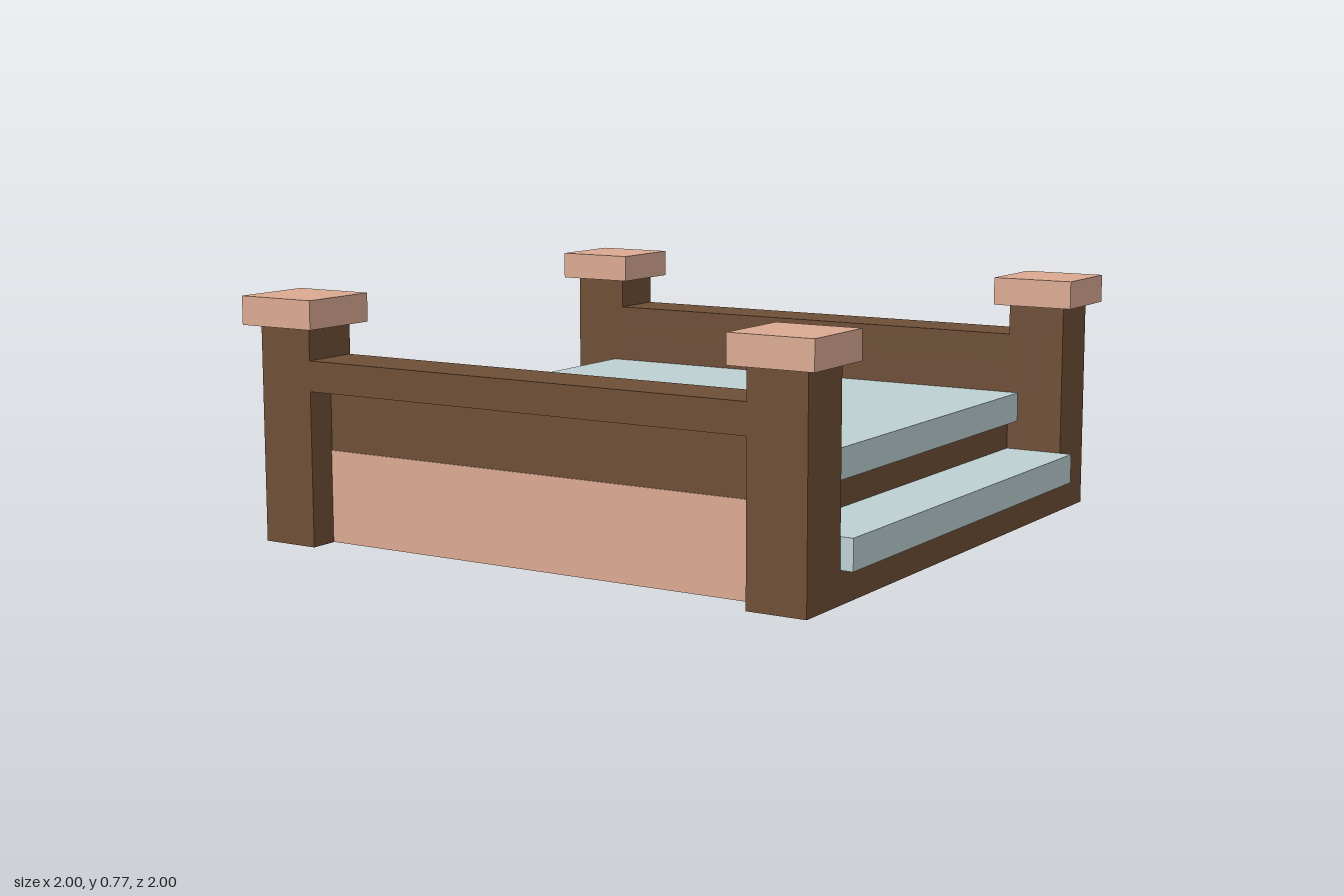
import * as THREE from 'three';

const wood = new THREE.MeshStandardMaterial({ color: 0x6f5037, flatShading: true });
const trim = new THREE.MeshStandardMaterial({ color: 0xddac94, flatShading: true });
const cloth = new THREE.MeshStandardMaterial({ color: 0xc0d2d5, flatShading: true });

// Box given by its [min, max] range on each axis
function block(name, material, [x0, x1], [y0, y1], [z0, z1]) {
  const mesh = new THREE.Mesh(new THREE.BoxGeometry(x1 - x0, y1 - y0, z1 - z0), material);
  mesh.position.set((x0 + x1) / 2, (y0 + y1) / 2, (z0 + z1) / 2);
  mesh.name = name;
  return mesh;
}

// Range on the positive side, mirrored when s is -1
const side = (s, a, b) => (s > 0 ? [a, b] : [-b, -a]);

export function createModel() {
  const model = new THREE.Group();
  model.name = 'bed';
  const IN = 0.77, OUT = 0.96;

  // Low base, raised core and mattress
  model.add(
    block('base', wood, [-OUT, OUT], [0, 0.1], [-IN, IN]),
    block('core', wood, [-IN, IN], [0.1, 0.29], [-IN, IN]),
    block('mattress', cloth, [-0.805, 0.805], [0.29, 0.385], [-IN, IN])
  );

  for (const s of [1, -1]) {
    // Padded step along each long side
    const step = s > 0 ? 'leftStep' : 'rightStep';
    model.add(block(step, cloth, side(s, IN, 1), [0.1, 0.195], [-IN, IN]));

    // End board: top rail, recessed panel and its coloured lower face
    const end = new THREE.Group();
    end.name = s > 0 ? 'frontBoard' : 'backBoard';
    end.add(
      block('topRail', wood, [-IN, IN], [0.485, 0.58], side(s, IN, OUT)),
      block('panel', wood, [-IN, IN], [0, 0.485], side(s, IN, 0.865)),
      block('lowerPanelFace', trim, [-IN, IN], [0.001, 0.29], side(s, 0.865, 0.868))
    );

    // Corner posts with square caps
    for (const t of [1, -1]) {
      const post = t > 0 ? 'leftPost' : 'rightPost';
      end.add(
        block(post, wood, side(t, IN, OUT), [0, 0.68], side(s, IN, OUT)),
        block(post + 'Cap', trim, side(t, 0.73, 1), [0.68, 0.77], side(s, 0.73, 1))
      );
    }
    model.add(end);
  }
  return model;
}
